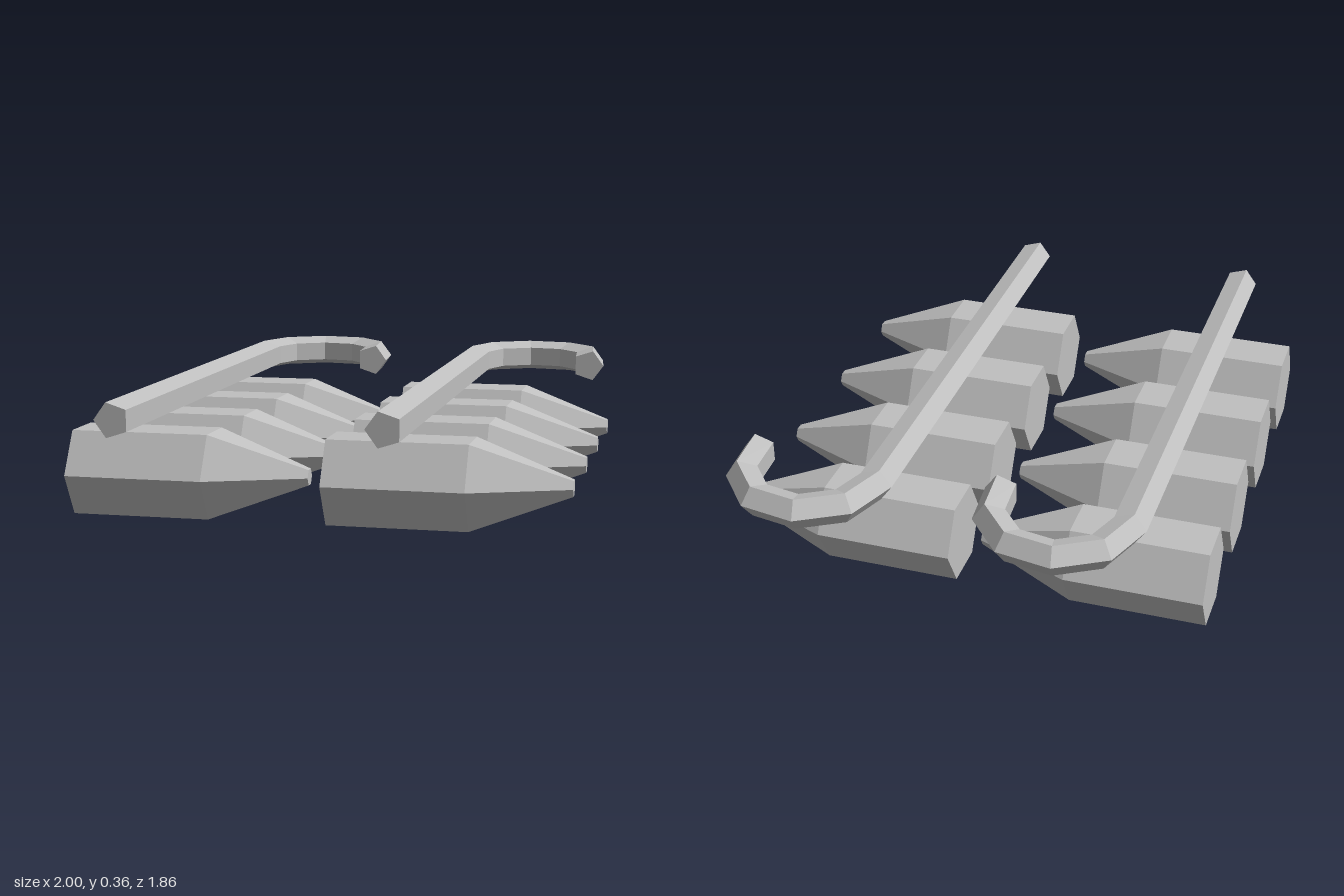
import * as THREE from 'three';

const ROWS = 2, SPIKES = 4;

// Hexagonal body with a tapered point, lying along +z with flats up and down
function spikeGeometry() {
  const profile = [[0, 0], [0.137, 0], [0.137, 0.393], [0.025, 0.667], [0, 0.667]]
    .map(([r, y]) => new THREE.Vector2(r, y));
  const geo = new THREE.LatheGeometry(profile, 6, Math.PI / 2).rotateX(Math.PI / 2).toNonIndexed();
  geo.computeVertexNormals();
  return geo;
}

// Five-sided bar along +x that bends into a hook, ridge on the outside of the bend
function hookGeometry() {
  const radius = 0.05, bend = 0.19, bendX = 0.622, sides = 5;
  const stations = [{ x: -0.905, z: 0, a: 0 }];
  for (let deg = 0; deg <= 160; deg += 40) {
    const a = THREE.MathUtils.degToRad(deg);
    stations.push({ x: bendX + bend * Math.sin(a), z: bend - bend * Math.cos(a), a });
  }
  stations.push({ x: 0.546, z: 2 * bend, a: Math.PI });

  const pos = [], index = [];
  for (const s of stations) {
    for (let k = 0; k < sides; k++) {
      const t = (k / sides) * Math.PI * 2, out = radius * Math.cos(t);
      pos.push(s.x + out * Math.sin(s.a), radius * Math.sin(t), s.z - out * Math.cos(s.a));
    }
  }
  const last = (stations.length - 1) * sides;
  for (let i = 0; i < last; i += sides) {
    for (let k = 0; k < sides; k++) {
      const n = (k + 1) % sides;
      index.push(i + k, i + n, i + sides + n, i + k, i + sides + n, i + sides + k);
    }
  }
  // End caps
  for (let k = 1; k < sides - 1; k++) {
    index.push(0, k + 1, k, last, last + k, last + k + 1);
  }
  const geo = new THREE.BufferGeometry();
  geo.setAttribute('position', new THREE.Float32BufferAttribute(pos, 3));
  geo.setIndex(index);
  const flat = geo.toNonIndexed();
  flat.computeVertexNormals();
  return flat;
}

export function createModel() {
  const model = new THREE.Group();
  model.name = 'hookedSpikeRacks';
  const grey = new THREE.MeshStandardMaterial({ color: 0xc0c0c0, flatShading: true });
  grey.name = 'plain grey';
  const spikeGeo = spikeGeometry(), hookGeo = hookGeometry();

  // Two identical rows set diagonally
  const diagonal = new THREE.Group();
  diagonal.name = 'diagonalRows';
  diagonal.rotation.y = Math.PI / 4;
  model.add(diagonal);

  for (let r = 0; r < ROWS; r++) {
    const row = new THREE.Group();
    row.name = r === 0 ? 'frontRow' : 'backRow';
    row.position.z = -0.728 * r;

    for (let i = 0; i < SPIKES; i++) {
      const spike = new THREE.Mesh(spikeGeo, grey);
      spike.name = `spike${i + 1}`;
      spike.position.set(-0.572 + 0.36 * i, 0.119, 0.05);
      row.add(spike);
    }

    const hook = new THREE.Mesh(hookGeo, grey);
    hook.name = 'hookedBar';
    hook.position.set(0, 0.312, 0.267);
    row.add(hook);
    diagonal.add(row);
  }
  return model;
}
